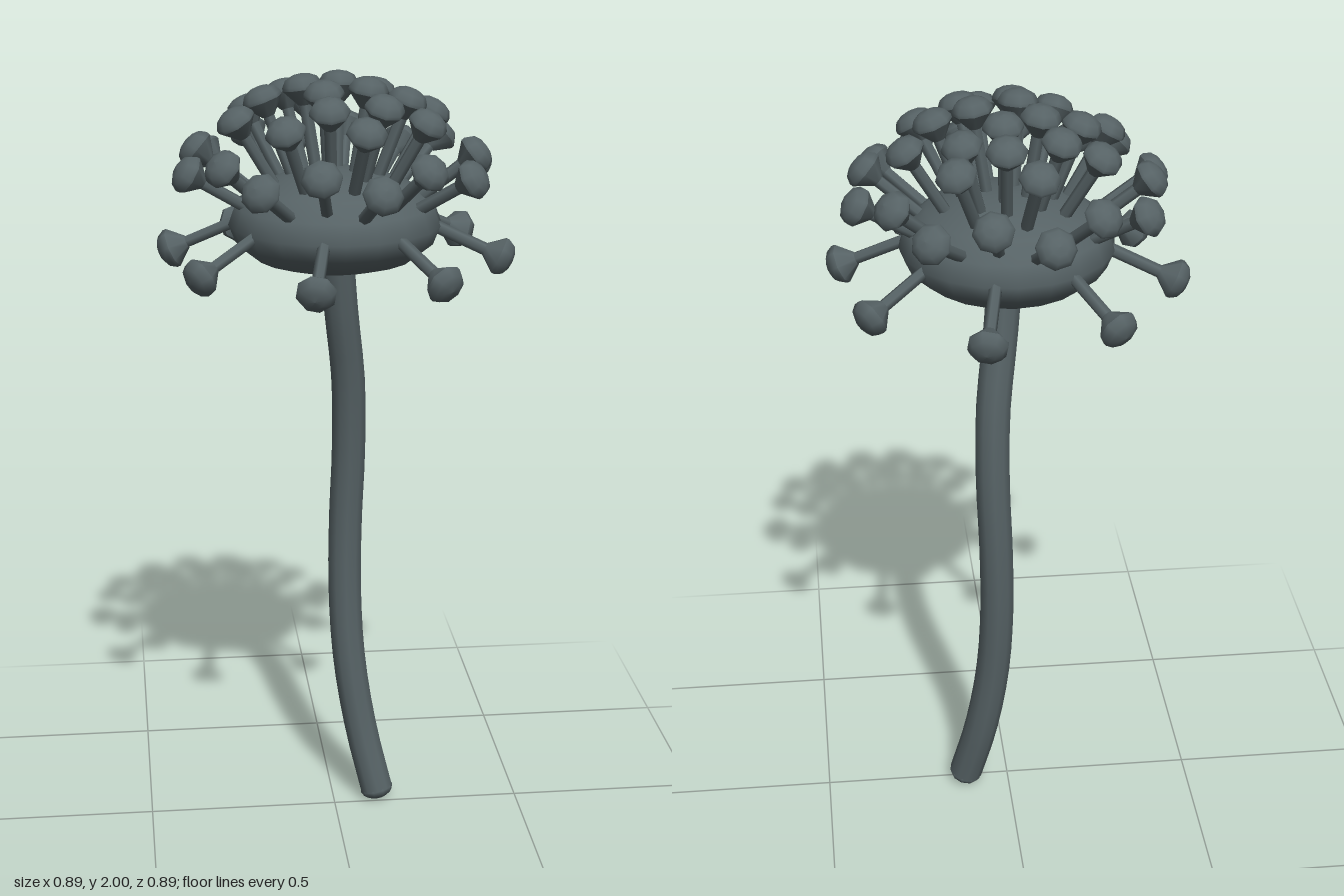
import * as THREE from 'three';

const material = new THREE.MeshStandardMaterial({ color: 0x566265 });
const UP = new THREE.Vector3(0, 1, 0);
const profile = pts => pts.map(([x, y]) => new THREE.Vector2(x, y));

function addMesh(parent, geometry, name) {
  const mesh = new THREE.Mesh(geometry, material);
  mesh.name = name;
  parent.add(mesh);
  return mesh;
}

// Eight evenly spaced angles in degrees
const eight = start => Array.from({ length: 8 }, (_, i) => start + i * 45);

// Rings of florets, outside in: head radius and height, stalk base radius and height, angles from +x to +z
const RINGS = [
  { r: 0.41, y: 1.556, baseR: 0.2, baseY: 1.65, angles: eight(12) },
  { r: 0.37, y: 1.77, baseR: 0.19, baseY: 1.66, angles: eight(-11.5) },
  { r: 0.343, y: 1.805, baseR: 0.18, baseY: 1.67, angles: eight(11) },
  { r: 0.25, y: 1.89, baseR: 0.13, baseY: 1.69, angles: eight(-11.5) },
  { r: 0.177, y: 1.93, baseR: 0.09, baseY: 1.7, angles: [-84, -130, -170, -48, 10, 54, 100] },
  { r: 0.085, y: 1.957, baseR: 0.045, baseY: 1.72, angles: [-78, -153, 114, 22] },
];

// Flared underside and low domed cap, pointing along +y
const flareGeometry = new THREE.CylinderGeometry(0.05, 0.016, 0.04, 8, 1, true).translate(0, -0.017, 0);
const capGeometry = new THREE.LatheGeometry(
  profile([[0.05, 0.003], [0.05, 0.012], [0.04, 0.029], [0.022, 0.038], [0, 0.041]]), 8);

function createFloret(base, head) {
  const floret = new THREE.Group();
  floret.name = 'floret';
  const axis = head.clone().sub(base);
  const length = axis.length();
  floret.position.copy(head);
  floret.quaternion.setFromUnitVectors(UP, axis.normalize());
  const stalk = new THREE.CylinderGeometry(0.016, 0.016, length - 0.03, 6, 1, true);
  addMesh(floret, stalk, 'stalk').position.y = -(length + 0.03) / 2;
  addMesh(floret, flareGeometry, 'bud');
  addMesh(floret, capGeometry, 'budCap');
  return floret;
}

export function createModel() {
  const model = new THREE.Group();
  model.name = 'flower';

  // Gently swaying stem with a blunt rounded foot
  const path = new THREE.CatmullRomCurve3([
    [0.118, 0.03, -0.02], [0.078, 0.2, -0.05], [0.047, 0.4, -0.07], [0.036, 0.6, -0.085],
    [0.038, 0.8, -0.09], [0.045, 1.0, -0.082], [0.041, 1.2, -0.06], [0.018, 1.4, -0.022], [0, 1.6, 0.01],
  ].map(p => new THREE.Vector3(...p)));
  addMesh(model, new THREE.TubeGeometry(path, 24, 0.045, 10, false), 'stem');
  const foot = addMesh(model, new THREE.SphereGeometry(0.045, 10, 6), 'stemFoot');
  foot.position.copy(path.getPoint(0));
  foot.quaternion.setFromUnitVectors(UP, path.getTangent(0));
  foot.scale.y = 0.6;

  // Flattened dome that carries the florets, dipping in slightly around the stem
  addMesh(model, new THREE.LatheGeometry(profile([
    [0, 1.54], [0.06, 1.53], [0.13, 1.525], [0.2, 1.545], [0.25, 1.585], [0.268, 1.63],
    [0.25, 1.68], [0.2, 1.722], [0.13, 1.75], [0.06, 1.763], [0, 1.766],
  ]), 20), 'flowerDome');

  // Rings of florets
  const florets = new THREE.Group();
  florets.name = 'florets';
  for (const { r, y, baseR, baseY, angles } of RINGS) {
    for (const degrees of angles) {
      const a = THREE.MathUtils.degToRad(degrees);
      const at = (radius, height) => new THREE.Vector3(radius * Math.cos(a), height, radius * Math.sin(a));
      florets.add(createFloret(at(baseR, baseY), at(r, y)));
    }
  }
  model.add(florets);
  return model;
}
